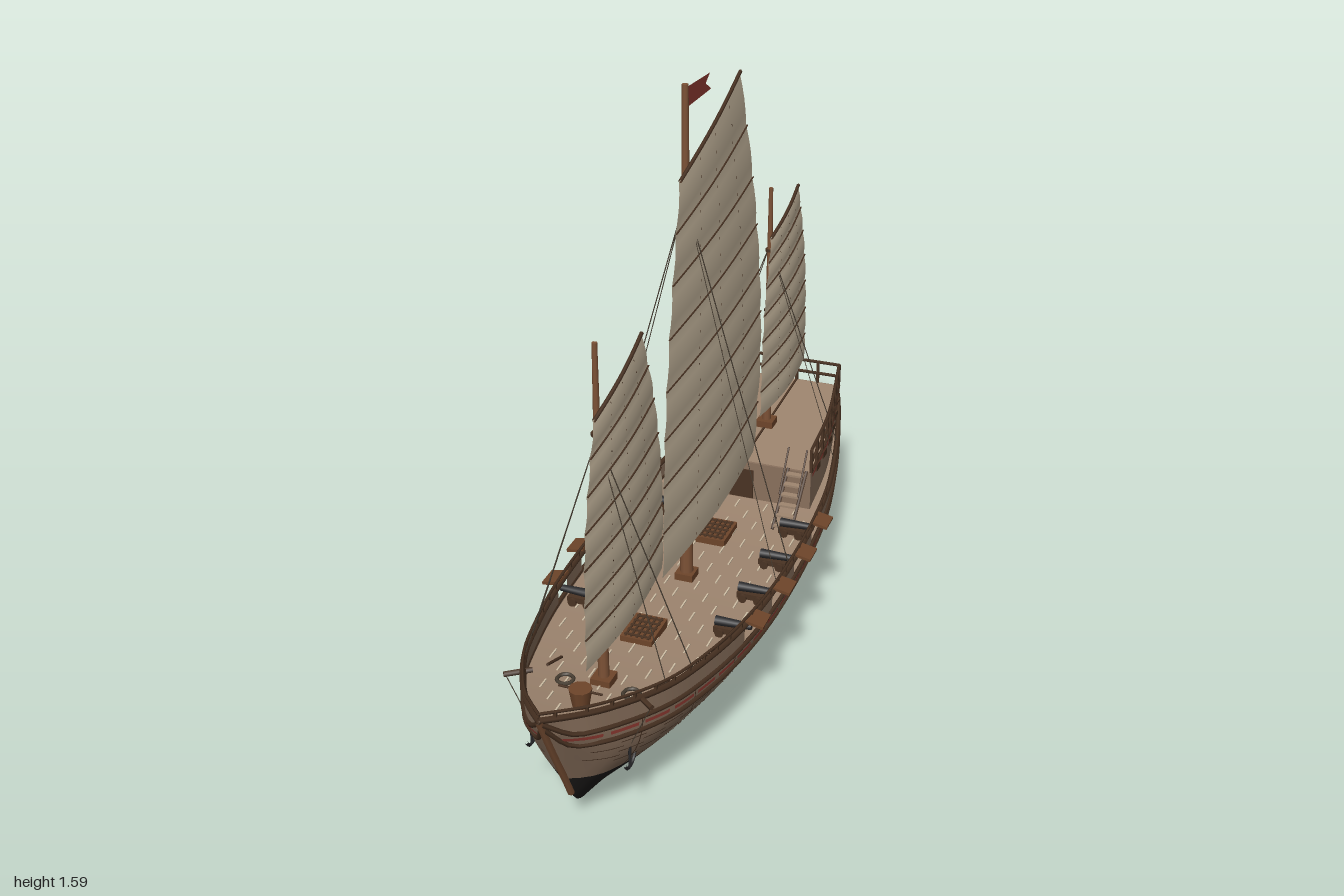
import * as THREE from 'three';

const V = (x, y, z) => new THREE.Vector3(x, y, z);
const paint = (name, color, open = false) => {
  const m = new THREE.MeshStandardMaterial({ color });
  m.name = name;
  if (open) m.side = THREE.DoubleSide;
  return m;
};

// smooth curve through [position, value] pairs
function curve(pts) {
  const slope = i => {
    const a = pts[Math.max(i - 1, 0)], b = pts[Math.min(i + 1, pts.length - 1)];
    return (b[1] - a[1]) / (b[0] - a[0]);
  };
  return p => {
    if (p <= pts[0][0]) return pts[0][1];
    if (p >= pts[pts.length - 1][0]) return pts[pts.length - 1][1];
    const i = pts.findIndex(q => q[0] > p) - 1;
    const [a, va] = pts[i], [b, vb] = pts[i + 1], h = b - a, t = (p - a) / h;
    const s = t * t * (3 - 2 * t);
    return va + (vb - va) * s + h * t * (1 - t) * ((1 - t) * slope(i) - t * slope(i + 1));
  };
}

// hull lines: keel height, sheer height, half beam and section fullness
const keel = curve([[-.91, .21], [-.88, .16], [-.82, .09], [-.75, .045], [-.6, .018], [-.3, .006], [0, 0], [.3, .006],
  [.6, .016], [.75, .037], [.82, .075], [.87, .17], [.93, .29], [.99, .415]]);
const sheer = curve([[-.91, .35], [-.6, .32], [-.3, .30], [0, .30], [.3, .31], [.6, .335], [.8, .37], [1, .42]]);
const beam = curve([[-.91, .13], [-.8, .165], [-.6, .215], [-.4, .25], [-.2, .265], [0, .27], [.2, .265],
  [.4, .245], [.6, .205], [.7, .175], [.8, .13], [.9, .075], [.99, 0]]);
const fullness = curve([[0, 0], [.06, .1], [.16, .27], [.32, .58], [.48, .82], [.65, .96], [.85, 1], [1, 1]]);
const water = curve([[-.91, .145], [0, .117], [.9, .165]]);
const halfW = (z, y) => beam(z) * fullness((y - keel(z)) / Math.max(sheer(z) - keel(z), .004));
const deckY = z => sheer(z) - .06;
const poopY = z => .362 - (z + .38) * .04;
const poopW = curve([[-.9, .135], [-.6, .19], [-.38, .205]]);

// lofted surface from a point rule p(u, v)
function loft(nu, nv, p) {
  const g = new THREE.PlaneGeometry(1, 1, nu, nv), a = g.attributes.position;
  for (let i = 0; i < a.count; i++) {
    const q = p(a.getX(i) + .5, a.getY(i) + .5);
    a.setXYZ(i, q.x, q.y, q.z);
  }
  g.computeVertexNormals();
  return g;
}

export function createModel() {
  const ship = new THREE.Group();
  ship.name = 'sailingShip';
  const hullM = paint('hullPlanks', 0x8a715d, true), tar = paint('tarredBottom', 0x1d1b1a, true);
  const deckM = paint('deckPlanks', 0x9f8670, true), dark = paint('darkTrim', 0x4a3323, true);
  const wood = paint('brownWood', 0x6e452a), mastM = paint('mastWood', 0x7d5236);
  const cloth = paint('sailCloth', 0xcebea4, true), red = paint('redPaint', 0x933c33, true);
  const rope = paint('rope', 0x4a4034), iron = paint('iron', 0x29292b);

  const add = (name, geo, mat, x = 0, y = 0, z = 0) => {
    const m = new THREE.Mesh(geo, mat);
    m.name = name;
    m.position.set(x, y, z);
    ship.add(m);
    return m;
  };
  const box = (name, mat, w, h, d, x, y, z) => add(name, new THREE.BoxGeometry(w, h, d), mat, x, y, z);
  const bar = (name, mat, a, b, r, r2 = r, n = 5) => {
    const d = b.clone().sub(a), m = add(name, new THREE.CylinderGeometry(r2, r, d.length(), n), mat);
    m.position.copy(a).addScaledVector(d, .5);
    m.quaternion.setFromUnitVectors(V(0, 1, 0), d.normalize());
    return m;
  };
  const tube = (name, mat, pts, r, sides = 5) =>
    add(name, new THREE.TubeGeometry(new THREE.CatmullRomCurve3(pts), pts.length * 2, r, sides), mat);
  const both = f => [-1, 1].forEach(f);

  // mirrored side strip between two height rules
  const strip = (name, mat, lo, hi, z0, z1, off = 0, rows = 1, width = halfW) => both(s => {
    const n = Math.max(2, Math.ceil((z1 - z0) / .02));
    add(name, loft(n, rows, (u, v) => {
      const z = z0 + (z1 - z0) * u, a = Math.max(lo(z), keel(z)), b = Math.max(hi(z), keel(z));
      const y = a + (b - a) * v;
      return V(s * (width(z, y) + off), y, z);
    }), mat);
  });
  // mirrored rail following the hull side
  const rail = (name, mat, yf, z0, z1, r, off = 0, width = halfW) => both(s => {
    const pts = [];
    for (let i = 0; i <= 32; i++) {
      const z = z0 + (z1 - z0) * i / 32, y = Math.max(yf(z), keel(z));
      pts.push(V(s * (width(z, y) + off), y, z));
    }
    tube(name, mat, pts, r);
  });
  const floor = (name, mat, yf, wf, z0, z1) => add(name, loft(40, 2, (u, v) => {
    const z = z0 + (z1 - z0) * u;
    return V((v * 2 - 1) * wf(z), yf(z), z);
  }), mat);

  // hull shell and bulwark with gun ports
  const guns = [-.23, -.055, .125, .305], sill = z => sheer(z) - .052;
  strip('hullBottom', tar, keel, water, -.91, .99, 0, 10);
  strip('hullSide', hullM, water, sill, -.91, .99, 0, 8);
  [-.91, ...guns].forEach((z, i) =>
    strip('bulwark', hullM, sill, sheer, i ? z + .035 : z, i < 4 ? guns[i] - .035 : .99));
  const half = [];
  for (let i = 0; i <= 10; i++) half.push(V(halfW(-.91, .21 + .014 * i), .21 + .014 * i, 0));
  const outline = [...half, ...half.slice().reverse().map(p => V(-p.x, p.y, 0))];
  add('transom', new THREE.ShapeGeometry(new THREE.Shape(outline)), hullM, 0, 0, -.91);

  // wales, painted band, plank seams and frame joints
  rail('capRail', dark, sheer, -.91, .99, .008);
  rail('upperWale', dark, sill, -.91, .985, .006, .003);
  rail('lowerWale', dark, z => sheer(z) - .09, -.91, .975, .006, .003);
  for (let i = 0; i < 20; i++) {
    const z = -.9 + i * .093;
    strip('redBand', red, q => sheer(q) - .074, q => sheer(q) - .065, z, z + .075, .005);
  }
  for (let r = 0; r < 6; r++) for (let i = 0; i < 14; i++) {
    const z = -.88 + i * .125 + (r % 2) * .06, d = .11 + r * .014;
    if (sheer(z) - d > Math.max(water(z), keel(z + .08) + .01))
      strip('plankSeam', dark, q => sheer(q) - d, q => sheer(q) - d + .0022, z, z + .07, .002);
  }
  for (let z = -.72; z < .85; z += .185) strip('frameJoint', dark, water, sill, z, z + .003, .002, 6);
  tube('stemPost', mastM, [.84, .87, .9, .93, .96, .99].map(z => V(0, keel(z), z)), .009, 6);

  // light rail on posts above the bulwark
  rail('topRail', dark, z => sheer(z) + .018, -.38, .99, .004);
  for (let z = -.36; z < .98; z += .06)
    both(s => box('railPost', dark, .007, .02, .007, s * beam(z), sheer(z) + .008, z));

  // main deck with caulking
  floor('mainDeck', deckM, deckY, z => halfW(z, deckY(z)), -.9, .95);
  for (let r = -5; r <= 5; r++) for (let i = 0; i < 13; i++) {
    const z = -.34 + i * .1 + (Math.abs(r) % 2) * .05;
    if (Math.abs(r) * .042 < beam(z) - .03)
      box('caulking', cloth, .004, .003, .04, r * .042, deckY(z) + .0015, z);
  }
  // hatches with gratings
  [-.16, .38].forEach(z => {
    const y = deckY(z);
    box('hatch', wood, .085, .022, .11, 0, y + .008, z);
    for (let i = -2; i <= 2; i++) {
      box('hatchGrating', dark, .07, .004, .006, 0, y + .02, z + i * .021);
      box('hatchGrating', dark, .005, .004, .1, i * .015, y + .02, z);
    }
  });
  // capstan, catheads, anchors and coiled rope
  add('capstan', new THREE.CylinderGeometry(.028, .02, .05, 10), wood, 0, deckY(.77) + .025, .77);
  bar('capstanBar', dark, V(-.055, deckY(.77) + .045, .77), V(.055, deckY(.77) + .045, .77), .003);
  both(s => {
    bar('cathead', dark, V(s * .13, .36, .75), V(s * .185, .36, .79), .007);
    const ax = halfW(.78, .2) + .01;
    bar('anchorRope', rope, V(s * .18, .355, .787), V(s * ax, .23, .78), .0012);
    bar('anchorShank', iron, V(s * ax, .23, .78), V(s * ax, .175, .78), .004);
    tube('anchorArms', iron, [[.195, -.03], [.178, -.018], [.173, 0], [.178, .018], [.195, .03]]
      .map(p => V(s * ax, p[0], .78 + p[1])), .004);
    const coil = add('ropeCoil', new THREE.TorusGeometry(.02, .005, 5, 14), rope, s * .085, deckY(.67) + .006, .67);
    coil.rotation.x = Math.PI / 2;
    bar('bitt', dark, V(s * .14, deckY(.6), .57), V(s * .14, deckY(.6) + .03, .65), .004);
  });

  // guns and port lids
  guns.forEach(z => both(s => {
    const y = deckY(z);
    box('gunCarriage', dark, .075, .016, .03, s * .2, y + .017, z);
    bar('gunBarrel', iron, V(s * .165, y + .036, z), V(s * .26, y + .038, z), .013, .009, 10);
    [-.018, .018].forEach(dz => [.18, .222].forEach(x =>
      bar('gunWheel', dark, V(s * x, y + .012, z + dz - .004), V(s * x, y + .012, z + dz + .004), .012, .012, 8)));
    const lid = box('portLid', wood, .048, .008, .062, s * (beam(z) + .019), sheer(z) + .005, z);
    lid.rotation.z = -s * .2;
  }));

  // raised stern deck, its walls, windows and stairs
  floor('sternDeck', deckM, poopY, poopW, -.9, -.38);
  box('deckCentreSeam', dark, .006, .004, .5, 0, poopY(-.65) + .001, -.65).rotation.x = .04;
  strip('cabinWall', hullM, z => sheer(z) - .06, poopY, -.9, -.38, 0, 1, poopW);
  strip('cabinBand', red, z => poopY(z) - .016, z => poopY(z) - .006, -.9, -.38, .004, 1, poopW);
  rail('sternDeckEdge', dark, poopY, -.9, -.38, .005, .001, poopW);
  box('cabinFront', hullM, .41, .12, .008, 0, .3, -.38);
  box('cabinBack', hullM, .27, .06, .012, 0, .35, -.902);
  box('cabinBackBand', red, .26, .01, .004, 0, .372, -.909);
  box('cabinDoor', dark, .07, .09, .006, 0, .292, -.375);
  for (let i = -1; i <= 1; i++) {
    box('sternWindow', dark, .05, .045, .006, i * .08, .325, -.91);
    box('sternWindowPane', deckM, .034, .029, .004, i * .08, .325, -.912);
  }
  for (let z = -.85; z < -.45; z += .08)
    both(s => box('cabinWindow', dark, .008, .02, .035, s * (poopW(z) + .002), .347, z));
  both(s => {
    for (let i = 0; i < 6; i++)
      box('stairTread', deckM, .05, .006, .018, s * .165, .25 + i * .021, -.25 - i * .022);
    [.138, .192].forEach(x => {
      bar('stairSide', dark, V(s * x, .24, -.24), V(s * x, .362, -.38), .005);
      bar('stairHandrail', dark, V(s * x, .32, -.3), V(s * x, .43, -.38), .003);
    });
  });
  // stern deck railing, open at the front
  [.032, .07].forEach(h => {
    rail('sternRail', dark, z => poopY(z) + h, -.9, -.38, .005, 0, poopW);
    const w = poopW(-.9), y = poopY(-.9) + h;
    bar('sternCrossRail', dark, V(-w, y, -.9), V(w, y, -.9), .005);
  });
  for (let i = 0; i <= 8; i++) {
    const z = -.9 + i * .065;
    both(s => box('sternRailPost', dark, .008, .072, .008, s * poopW(z), poopY(z) + .035, z));
  }
  [-.5, 0, .5].forEach(f => box('sternRailPost', dark, .008, .072, .008, f * poopW(-.9), poopY(-.9) + .035, -.9));

  // rudder
  const rs = new THREE.Shape();
  rs.moveTo(.885, .07);
  rs.quadraticCurveTo(.95, .05, 1, .075);
  rs.lineTo(1, .25);
  rs.quadraticCurveTo(.985, .28, .95, .288);
  rs.quadraticCurveTo(.92, .288, .908, .26);
  const rudder = add('rudder', new THREE.ExtrudeGeometry(rs, { depth: .012, bevelEnabled: false }), wood, -.006);
  rudder.rotation.y = Math.PI / 2;
  bar('rudderStock', wood, V(0, .2, -.915), V(0, .33, -.915), .006);

  // masts, sails, battens, stitching, shrouds and sheets
  const rig = (z, base, top, r, panels, hitch, luff, leech) => {
    box('mastStep', wood, .05, .02, .05, 0, base + .01, z);
    bar('mast', mastM, V(0, base, z), V(0, top, z), r, r * .45, 10);
    [.25, .5, .75].forEach(f => add('mastBand', new THREE.CylinderGeometry(r, r, .008, 10), dark, 0, base + (top - base) * f, z));
    const side = pts => new THREE.CatmullRomCurve3(pts.map(p => V(0, p[1], p[0])));
    const a = side(luff), b = side(leech);
    const at = (u, v) => {
      const p = a.getPoint(v).lerp(b.getPoint(v), u);
      p.x = .02 + .016 * Math.sin(Math.PI * u) * (1 - .6 * v) + .004 * Math.abs(Math.sin(Math.PI * v * panels));
      return p;
    };
    const face = (u, v) => at(u, v).add(V(.003, 0, 0));
    add('sail', loft(16, panels * 4, at), cloth);
    for (let i = 1; i <= panels; i++) {
      const pts = [0, .125, .25, .375, .5, .625, .75, .875, 1].map(u => face(u, i / panels));
      tube(i === panels ? 'yard' : 'batten', dark, pts, i === panels ? .005 : .0022);
    }
    [.28, .5, .75].forEach(u => {
      for (let i = 0; i < panels * 3; i++) {
        const v = (i + .4) / (panels * 3);
        bar('stitch', dark, face(u, v), face(u, v + .006), .0007, .0007, 4);
      }
    });
    both(s => [-.05, .05].forEach(dz => {
      const foot = V(s * beam(z + dz), sheer(z + dz), z + dz);
      bar('shroud', rope, V(0, hitch, z), foot, .0014, .0014, 4);
    }));
    const cleat = V(-.01, luff[0][1] - .02, leech[0][0] + .1);
    for (let i = 1; i < 5; i++) bar('sheet', rope, at(1, i / panels).setX(.012), cleat, .001, .001, 4);
  };
  rig(.635, deckY(.635), 1.17, .014, 7, .94,
    [[.78, .41], [.78, .56], [.77, .72], [.74, .87], [.70, 1.015]],
    [[.305, .406], [.30, .57], [.315, .75], [.355, .93], [.42, 1.105]]);
  rig(.075, deckY(.075), 1.59, .018, 8, 1.31,
    [[.30, .375], [.29, .63], [.265, .88], [.22, 1.14], [.17, 1.385]],
    [[-.417, .375], [-.46, .67], [-.44, .93], [-.37, 1.22], [-.257, 1.535]]);
  rig(-.6, poopY(-.6), 1.11, .013, 7, .94,
    [[-.47, .46], [-.474, .6], [-.485, .73], [-.51, .865], [-.54, .985]],
    [[-.90, .455], [-.897, .61], [-.88, .77], [-.84, .92], [-.785, 1.06]]);

  // swallow-tailed pennant
  const fs = new THREE.Shape([[-.075, 1.53], [.105, 1.53], [.065, 1.553], [.095, 1.572], [-.075, 1.58]]
    .map(p => new THREE.Vector2(p[0], p[1])));
  add('pennant', new THREE.ShapeGeometry(fs), red).rotation.y = Math.PI / 2;
  return ship;
}
